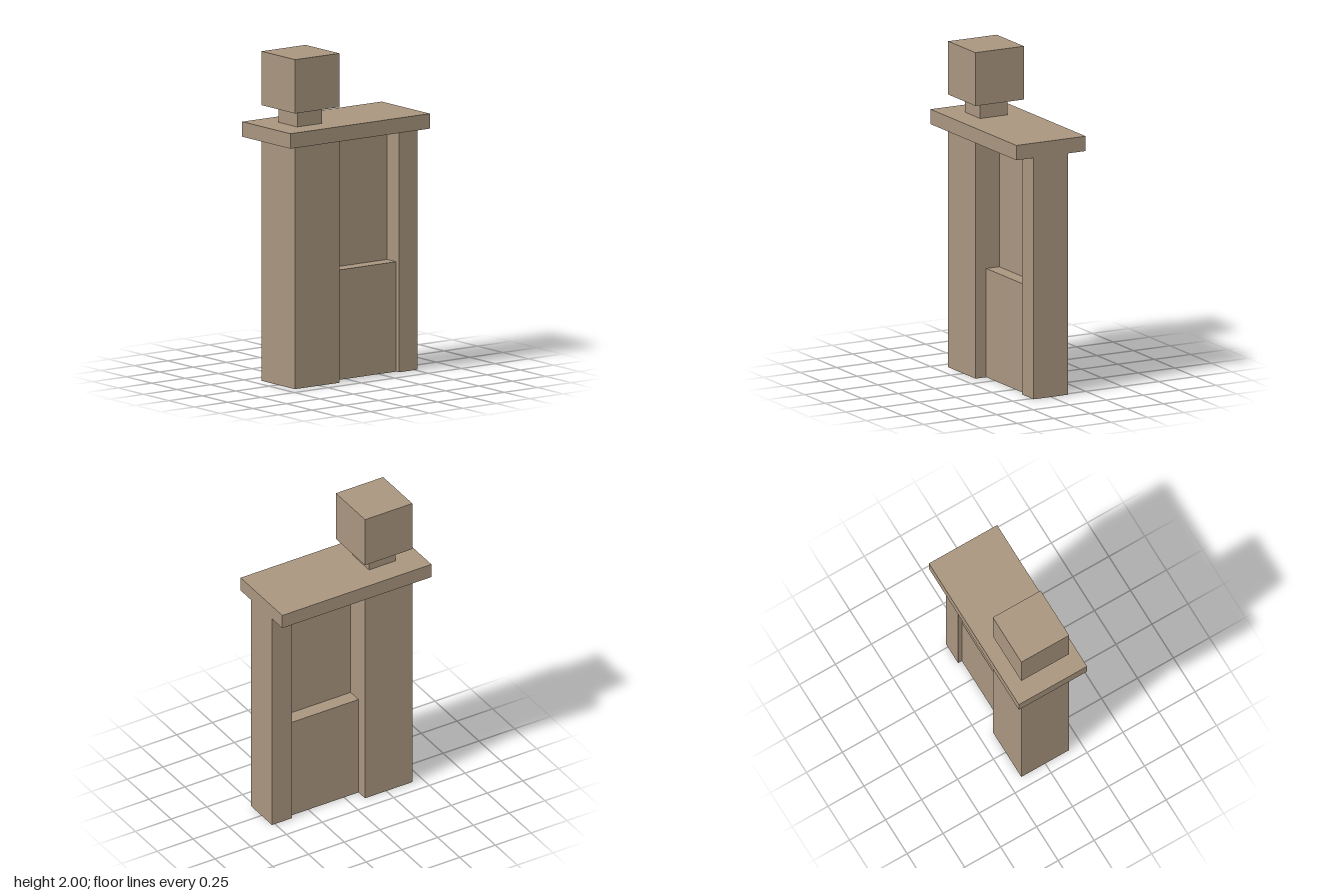
import * as THREE from 'three';

export function createModel() {
  const group = new THREE.Group();
  const stone = new THREE.MeshStandardMaterial({ color: 0xa8957f });
  stone.name = 'tan stone';

  // Box spanning x0..x1 and y0..y1, centred on z = 0
  const block = (name, x0, x1, y0, y1, depth) => {
    const mesh = new THREE.Mesh(new THREE.BoxGeometry(x1 - x0, y1 - y0, depth), stone);
    mesh.position.set((x0 + x1) / 2, (y0 + y1) / 2, 0);
    mesh.name = name;
    group.add(mesh);
  };

  // Uprights
  block('widePillar', -0.432, -0.101, 0, 1.481, 0.332);
  block('narrowPost', 0.381, 0.521, 0, 1.481, 0.237);

  // Infill between the uprights: thick below, thin sheet above
  block('lowerPanel', -0.101, 0.381, 0, 0.667, 0.184);
  block('upperPanel', -0.101, 0.381, 0.667, 1.481, 0.005);

  // Top slab with the cube finial above the pillar
  block('topSlab', -0.522, 0.522, 1.481, 1.572, 0.474);
  block('finialNeck', -0.36, -0.174, 1.572, 1.673, 0.186);
  block('finialCube', -0.432, -0.101, 1.673, 2, 0.332);

  return group;
}
